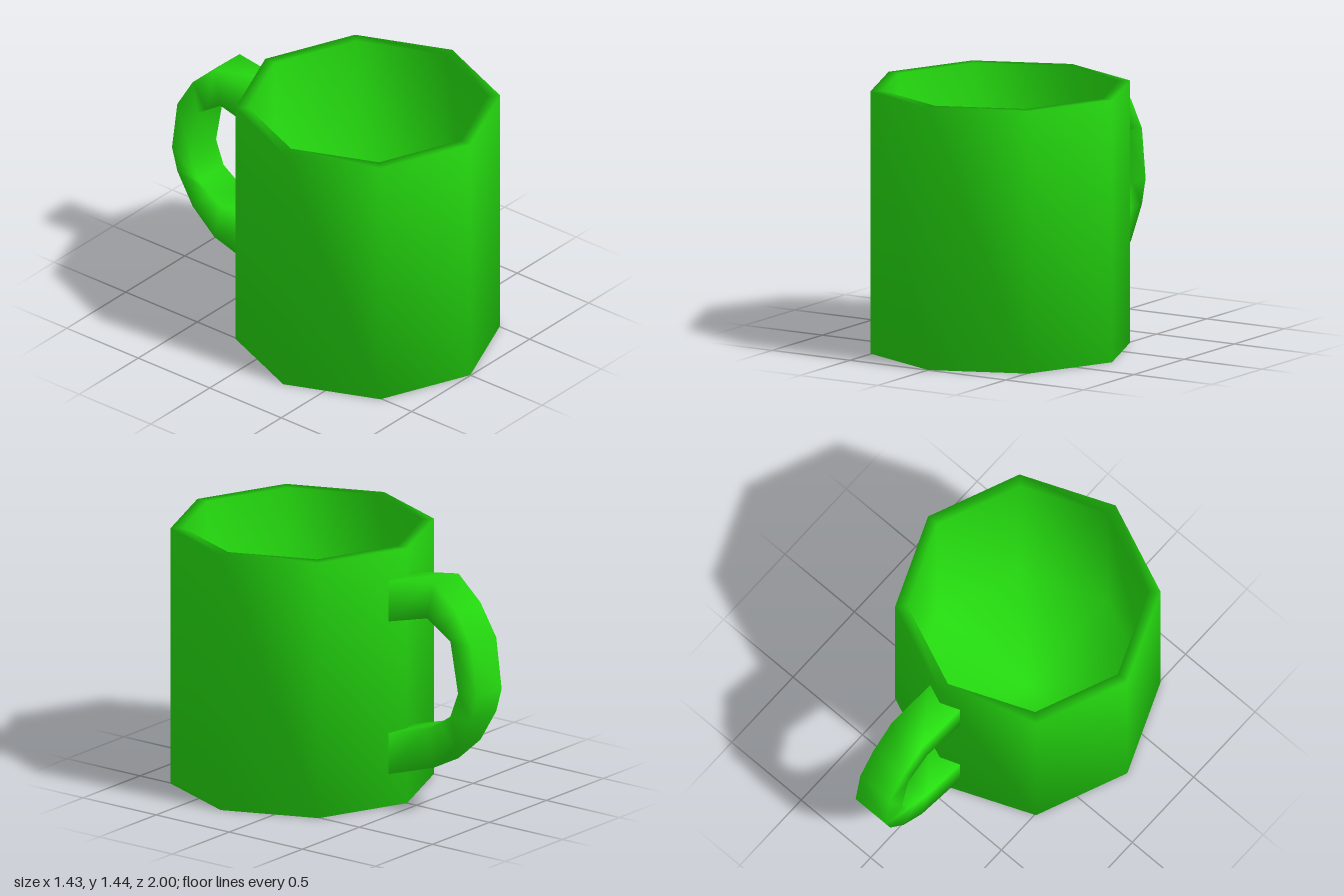
import * as THREE from 'three';

const green = new THREE.MeshStandardMaterial({ color: 0x26e010 });
green.name = 'green';

// Eight-sided cup: outside wall, rim, inside wall and floor as one smooth lathe
function makeCup() {
  const R = 0.717, r = 0.65, h = 1.443, floor = 0.07;
  const profile = [[0, 0], [R, 0], [R, h], [r, h], [r, floor], [0, floor]]
    .map(([x, y]) => new THREE.Vector2(x, y));
  const cup = new THREE.Mesh(new THREE.LatheGeometry(profile, 8), green);
  cup.name = 'cup';
  cup.position.z = 0.28;
  return cup;
}

// Handle: a rectangular section swept from the upper to the lower joint
function makeHandle() {
  const w = 0.108;
  // outer z, outer y, inner z, inner y
  const stations = [
    [-0.394, 1.276, -0.394, 1.046],
    [-0.705, 1.324, -0.66, 1.115],
    [-0.855, 1.19, -0.76, 1.05],
    [-0.963, 1.013, -0.818, 1.013],
    [-1.0, 0.729, -0.87, 0.729],
    [-0.963, 0.595, -0.818, 0.59],
    [-0.855, 0.413, -0.745, 0.54],
    [-0.705, 0.279, -0.66, 0.488],
    [-0.394, 0.182, -0.394, 0.413],
  ];
  const positions = [], index = [];
  stations.forEach(([oz, oy, iz, iy], s) => {
    positions.push(-w, oy, oz, w, oy, oz, w, iy, iz, -w, iy, iz);
    if (s === stations.length - 1) return;
    for (let k = 0; k < 4; k++) {
      const a = s * 4 + k, b = s * 4 + (k + 1) % 4;
      index.push(a, b, a + 4, b, b + 4, a + 4);
    }
  });
  const geometry = new THREE.BufferGeometry();
  geometry.setAttribute('position', new THREE.Float32BufferAttribute(positions, 3));
  geometry.setIndex(index);
  geometry.computeVertexNormals();
  const handle = new THREE.Mesh(geometry, green);
  handle.name = 'handle';
  return handle;
}

export function createModel() {
  const mug = new THREE.Group();
  mug.name = 'mug';
  mug.add(makeCup(), makeHandle());
  return mug;
}
